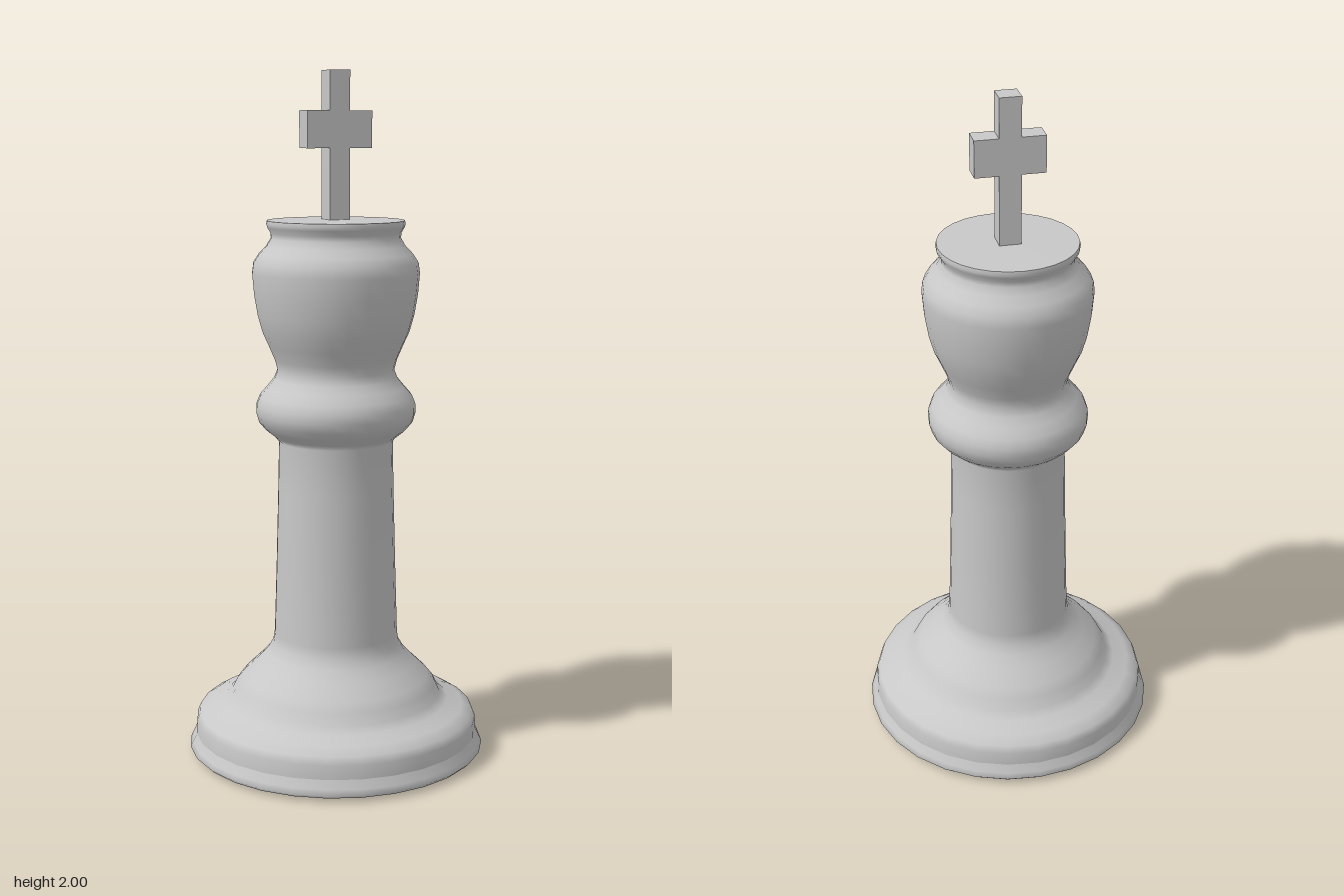
import * as THREE from 'three';

const SIDES = 28;

export function createModel() {
  const stone = new THREE.MeshStandardMaterial({ color: 0xc8c8c8 });
  stone.name = 'pale grey';
  const group = new THREE.Group();
  group.name = 'chessKing';

  const add = (name, geometry, y = 0) => {
    const mesh = new THREE.Mesh(geometry, stone);
    mesh.name = name;
    mesh.position.y = y;
    group.add(mesh);
  };
  // Revolved part from [radius, height] pairs, bottom to top
  const turned = (name, profile) =>
    add(name, new THREE.LatheGeometry(profile.map(([r, y]) => new THREE.Vector2(r, y)), SIDES));

  // Underside and foot rim
  turned('underside', [[0, 0], [0.3, 0.002], [0.43, 0.01]]);
  turned('footRim', [[0.43, 0.01], [0.44, 0.02], [0.432, 0.035], [0.421, 0.06]]);

  // Stepped base, column, collar and head in one smooth turning
  turned('body', [
    [0.421, 0.06], [0.419, 0.1], [0.41, 0.122], [0.38, 0.14], [0.335, 0.156], [0.312, 0.175],
    [0.297, 0.205], [0.275, 0.232], [0.235, 0.27], [0.205, 0.302], [0.188, 0.33], [0.183, 0.36],
    [0.176, 0.58], [0.17, 0.8], [0.167, 0.94],
    [0.18, 0.955], [0.205, 0.975], [0.225, 0.998], [0.233, 1.025], [0.232, 1.05], [0.222, 1.075],
    [0.2, 1.1], [0.18, 1.125], [0.17, 1.15],
    [0.178, 1.18], [0.195, 1.22], [0.213, 1.26], [0.227, 1.31], [0.237, 1.37], [0.242, 1.43],
    [0.238, 1.46], [0.222, 1.485], [0.2, 1.508], [0.187, 1.53], [0.188, 1.545], [0.197, 1.56],
    [0.2, 1.57], [0.198, 1.58],
  ]);

  // Flat crown top
  turned('crownTop', [[0.198, 1.58], [0, 1.583]]);

  // Cross: upright with two arms
  const t = 0.062;
  add('crossUpright', new THREE.BoxGeometry(t, 0.42, t), 1.79);
  for (const side of [-1, 1]) {
    add(side > 0 ? 'crossArmLeft' : 'crossArmRight',
      new THREE.BoxGeometry(0.068, 0.105, t).translate(side * 0.065, 0, 0), 1.836);
  }
  return group;
}
